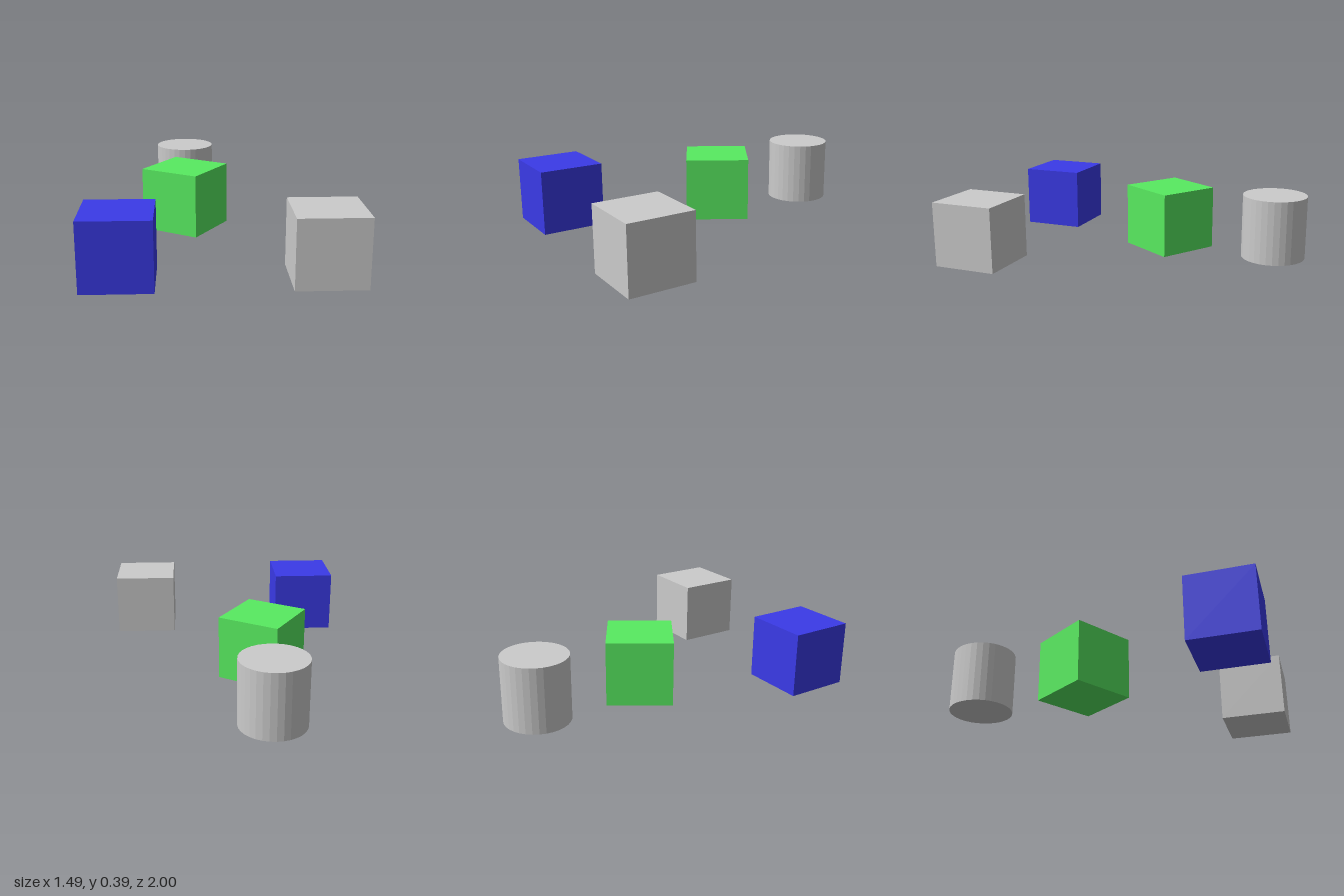
import * as THREE from 'three';

const SIZE = 0.388; // shared edge length, height and diameter

export function createModel() {
  const model = new THREE.Group();

  const addBlock = (name, geometry, color, x, z, turn = 0) => {
    const material = new THREE.MeshStandardMaterial({ color, flatShading: true });
    const mesh = new THREE.Mesh(geometry, material);
    mesh.name = name;
    mesh.position.set(x, SIZE / 2, z);
    mesh.rotation.y = THREE.MathUtils.degToRad(turn);
    model.add(mesh);
  };

  const cube = new THREE.BoxGeometry(SIZE, SIZE, SIZE);
  const cylinder = new THREE.CylinderGeometry(SIZE / 2, SIZE / 2, SIZE, 32);

  // Two cubes at the front corners
  addBlock('blueCube', cube, 0x3a3ae8, -0.55, 0.806);
  addBlock('greyCube', cube, 0xcccccc, 0.55, 0.806);

  // Turned cube in the middle, cylinder at the back
  addBlock('greenCube', cube, 0x58eb60, -0.195, -0.13, -32);
  addBlock('greyCylinder', cylinder, 0xcccccc, -0.195, -0.806);

  return model;
}
